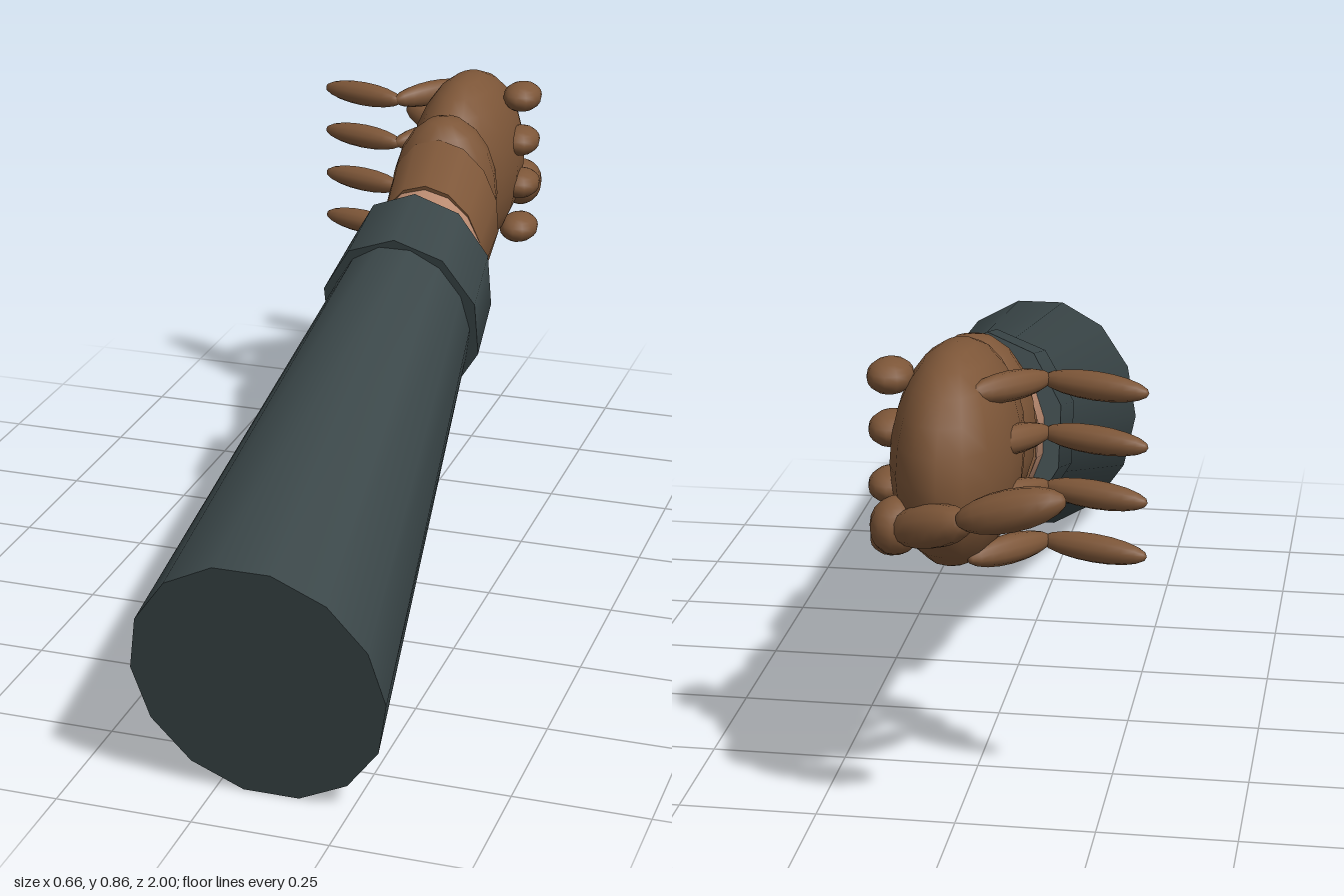
import * as THREE from 'three';

const cloth = new THREE.MeshStandardMaterial({ color: 0x3a4648 });
const skin = new THREE.MeshStandardMaterial({ color: 0xb98a70 });
const leather = new THREE.MeshStandardMaterial({ color: 0x7d5638 });
const V = (x, y, z) => new THREE.Vector3(x, y, z);

// All rings of the arm lie across the same tilted direction.
const ringUp = V(0, 0.967, 0.256);

export function createModel() {
  const model = new THREE.Group();
  model.name = 'glovedForearm';

  function add(name, geometry, material, parent = model) {
    const mesh = new THREE.Mesh(geometry, material);
    mesh.name = name;
    parent.add(mesh);
    return mesh;
  }

  // Oval tapered tube from a to b; ra and rb are [half width, half height].
  function limb(name, a, b, ra, rb, sides, material, start = 0) {
    const g = new THREE.CylinderGeometry(1, 1, 1, sides, 1, false, start);
    const p = g.attributes.position;
    for (let i = 0; i < p.count; i++) {
      const t = p.getY(i) + 0.5;
      p.setX(i, p.getX(i) * THREE.MathUtils.lerp(ra[0], rb[0], t));
      p.setZ(i, p.getZ(i) * THREE.MathUtils.lerp(ra[1], rb[1], t));
    }
    const m = new THREE.Matrix4().makeBasis(V(1, 0, 0), b.clone().sub(a), ringUp);
    m.setPosition(a.clone().add(b).multiplyScalar(0.5));
    g.applyMatrix4(m);
    return add(name, g, material);
  }

  // Axis-aligned ellipsoid.
  function ball(name, centre, radii, parent, w = 14, h = 10) {
    const mesh = add(name, new THREE.SphereGeometry(1, w, h), leather, parent);
    mesh.position.copy(centre);
    mesh.scale.set(...radii);
    return mesh;
  }

  // Slim ellipsoid whose tips are a and b.
  function segment(name, a, b, r, parent) {
    const d = b.clone().sub(a);
    const mesh = ball(name, a.clone().add(b).multiplyScalar(0.5), [r, d.length() / 2, r], parent, 12, 10);
    mesh.quaternion.setFromUnitVectors(V(0, 1, 0), d.normalize());
    return mesh;
  }

  // Arm
  limb('sleeve', V(0.1, 0.247, 0.935), V(0.033, 0.537, -0.14), [0.23, 0.26], [0.137, 0.174], 14, cloth, Math.PI / 14);
  limb('cuff', V(0.036, 0.525, -0.09), V(0.027, 0.568, -0.257), [0.163, 0.192], [0.151, 0.189], 10, cloth);
  limb('wrist', V(0.025, 0.555, -0.2), V(0.02, 0.592, -0.36), [0.112, 0.151], [0.112, 0.15], 14, skin);
  limb('gloveCuff', V(0.023, 0.585, -0.335), V(0.012, 0.63, -0.47), [0.11, 0.16], [0.118, 0.173], 14, leather);

  // Hand
  ball('heelOfHand', V(0.005, 0.655, -0.495), [0.112, 0.172, 0.115]);
  ball('palm', V(0, 0.67, -0.685), [0.112, 0.195, 0.225], model, 16, 12);

  // Four fingers stacked up the hand, with knuckles on the left side
  [0.805, 0.71, 0.612, 0.515].forEach((y, i) => {
    const finger = new THREE.Group();
    finger.name = 'finger' + (i + 1);
    model.add(finger);
    ball('knuckle', V(0.108, y + 0.008, i % 2 ? -0.72 : -0.728), [0.041, 0.031, 0.054], finger, 12, 10);
    segment('middleSegment', V(-0.035, y, -0.8), V(-0.155, y - 0.005, -0.655), 0.026, finger);
    segment('fingertip', V(-0.14, y - 0.006, -0.66), V(-0.33, y - 0.008, -0.72), 0.025, finger);
  });

  // Thumb curling round the far end of the hand
  const thumb = new THREE.Group();
  thumb.name = 'thumb';
  model.add(thumb);
  ball('thumbBase', V(0.08, 0.585, -0.84), [0.045, 0.05, 0.055], thumb, 12, 10);
  segment('thumbMiddle', V(0.085, 0.58, -0.85), V(-0.065, 0.635, -0.95), 0.038, thumb);
  segment('thumbTip', V(-0.04, 0.635, -0.948), V(-0.225, 0.69, -0.975), 0.036, thumb);

  return model;
}
